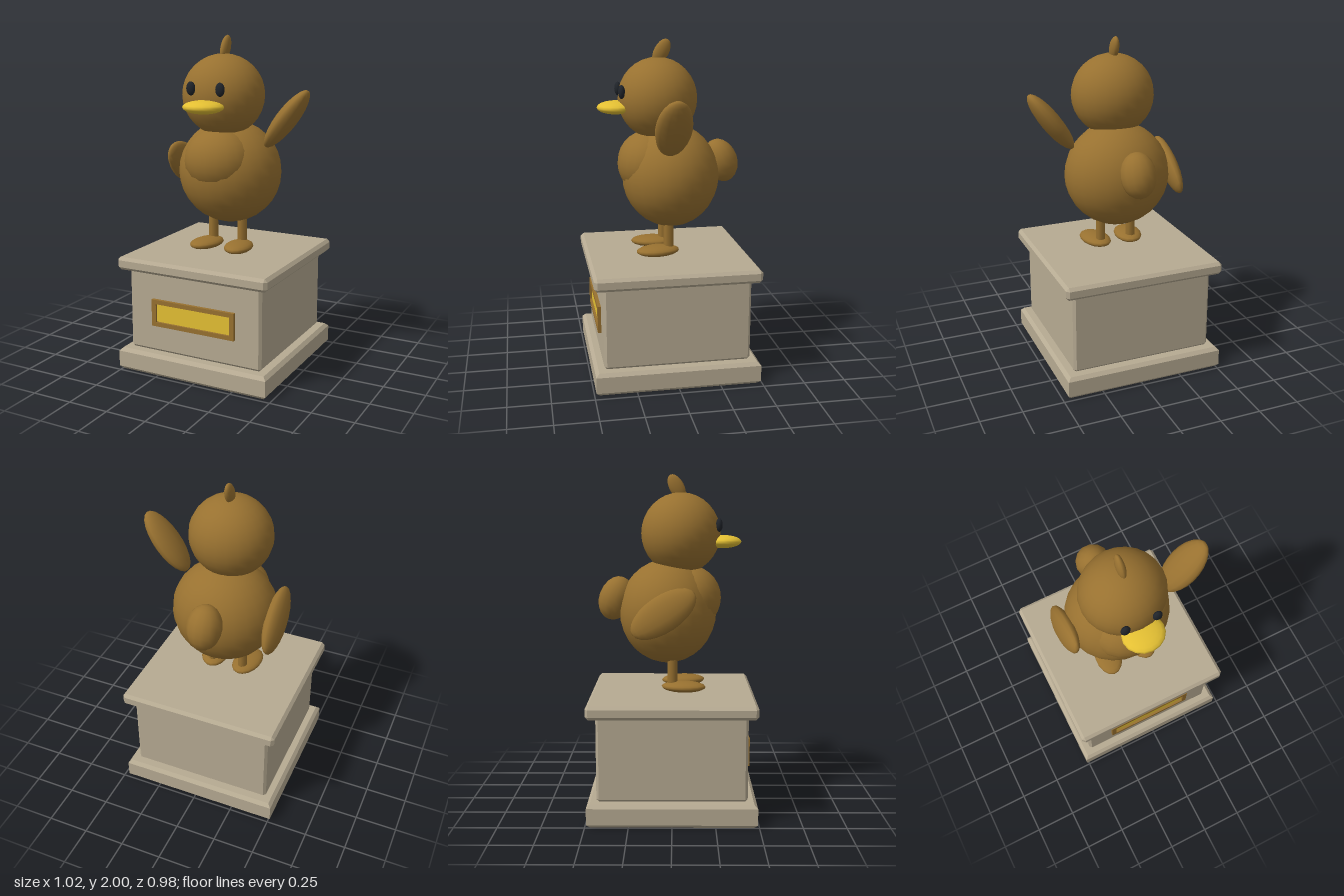
import * as THREE from 'three';
import { ConvexGeometry } from 'three/addons/geometries/ConvexGeometry.js';

const CX = -0.022; // statue axis

export function createModel() {
  const root = new THREE.Group();
  root.name = 'duckStatue';

  const material = (name, color) => {
    const m = new THREE.MeshStandardMaterial({ color });
    m.name = name;
    return m;
  };
  const bronze = material('bronze', 0x987130);
  const stone = material('stone', 0xb6aa92);
  stone.side = THREE.DoubleSide;
  const gold = material('gold', 0xe4c033);
  const black = material('black', 0x20242a);

  const add = (name, geometry, mat, x, y, z) => {
    const mesh = new THREE.Mesh(geometry, mat);
    mesh.name = name;
    mesh.position.set(x, y, z);
    root.add(mesh);
    return mesh;
  };

  // Box with chamfered edges
  const chamferBox = (w, h, d, c) => {
    const points = [];
    for (const sx of [-0.5, 0.5]) for (const sy of [-0.5, 0.5]) for (const sz of [-0.5, 0.5]) {
      const p = new THREE.Vector3(sx * w, sy * h, sz * d);
      for (const free of ['x', 'y', 'z']) {
        const q = p.clone();
        for (const axis of ['x', 'y', 'z']) if (axis !== free) q[axis] -= Math.sign(p[axis]) * c;
        points.push(q);
      }
    }
    return new ConvexGeometry(points);
  };

  // Ellipsoid with its poles along y
  const ellipsoid = (name, mat, center, radii, segments = 14, rows = 10) =>
    add(name, new THREE.SphereGeometry(1, segments, rows).scale(...radii), mat, ...center);

  // Pedestal base: square shell, open underneath
  const profile = [[0.47, 0], [0.49, 0.02], [0.49, 0.117], [0.47, 0.137], [0, 0.137]]
    .map(([r, y]) => new THREE.Vector2(r * Math.SQRT2, y));
  const shell = new THREE.LatheGeometry(profile, 4, Math.PI / 4).toNonIndexed();
  shell.computeVertexNormals();
  add('pedestalBase', shell, stone, CX, 0, 0);

  // Pedestal block and cap
  const slab = (name, size, y0, y1, c) =>
    add(name, chamferBox(size, y1 - y0, size, c), stone, CX, (y0 + y1) / 2, 0);
  slab('pedestalBlock', 0.87, 0.138, 0.64, 0.015);
  slab('pedestalCap', 0.98, 0.632, 0.71, 0.018);

  // Plaque: raised frame around a gold plate
  const rect = (PathType, w, h) => new PathType().moveTo(-w / 2, -h / 2).lineTo(w / 2, -h / 2)
    .lineTo(w / 2, h / 2).lineTo(-w / 2, h / 2).closePath();
  const frame = rect(THREE.Shape, 0.546, 0.164);
  frame.holes.push(rect(THREE.Path, 0.488, 0.112));
  add('plaqueFrame', new THREE.ExtrudeGeometry(frame, { depth: 0.024, bevelEnabled: false }),
    bronze, CX, 0.387, 0.431);
  add('plaquePlate', new THREE.BoxGeometry(0.49, 0.114, 0.009), gold, CX, 0.387, 0.4375);

  // Body, chest, head and tail
  ellipsoid('body', bronze, [-0.018, 1.19, -0.027], [0.316, 0.312, 0.292], 24, 16);
  ellipsoid('chest', bronze, [CX, 1.27, 0.1], [0.218, 0.195, 0.192], 20, 14);
  ellipsoid('head', bronze, [CX, 1.655, 0.05], [0.247, 0.241, 0.236], 24, 16);
  ellipsoid('tail', bronze, [CX, 1.268, -0.34], [0.104, 0.135, 0.102]).rotation.x = 0.35;
  ellipsoid('tuft', bronze, [CX, 1.927, 0.025], [0.025, 0.08, 0.045]).rotation.x = -0.5;

  // Face
  ellipsoid('beak', gold, [CX, 1.606, 0.3], [0.122, 0.039, 0.111], 16, 10);
  for (const s of [-1, 1]) {
    ellipsoid(s > 0 ? 'leftEye' : 'rightEye', black, [CX + s * 0.094, 1.706, 0.274],
      [0.028, 0.04, 0.02]);
  }

  // Wings: left raised to wave, right folded back
  ellipsoid('leftWing', bronze, [0.371, 1.53, 0.022], [0.058, 0.211, 0.106], 14, 12)
    .rotation.z = -0.65;
  ellipsoid('rightWing', bronze, [-0.347, 1.212, -0.05], [0.05, 0.214, 0.107], 14, 12)
    .rotation.set(0.99, -0.11, -0.2, 'ZYX');

  // Legs and feet
  for (const s of [-1, 1]) {
    const side = s > 0 ? 'left' : 'right';
    add(side + 'Leg', new THREE.CylinderGeometry(0.03, 0.03, 0.22, 8), bronze,
      CX + s * 0.099, 0.85, 0);
    ellipsoid(side + 'Foot', bronze, [CX + s * 0.109, 0.747, 0.067], [0.084, 0.033, 0.133], 16, 10)
      .rotation.y = s * 0.15;
  }

  return root;
}
